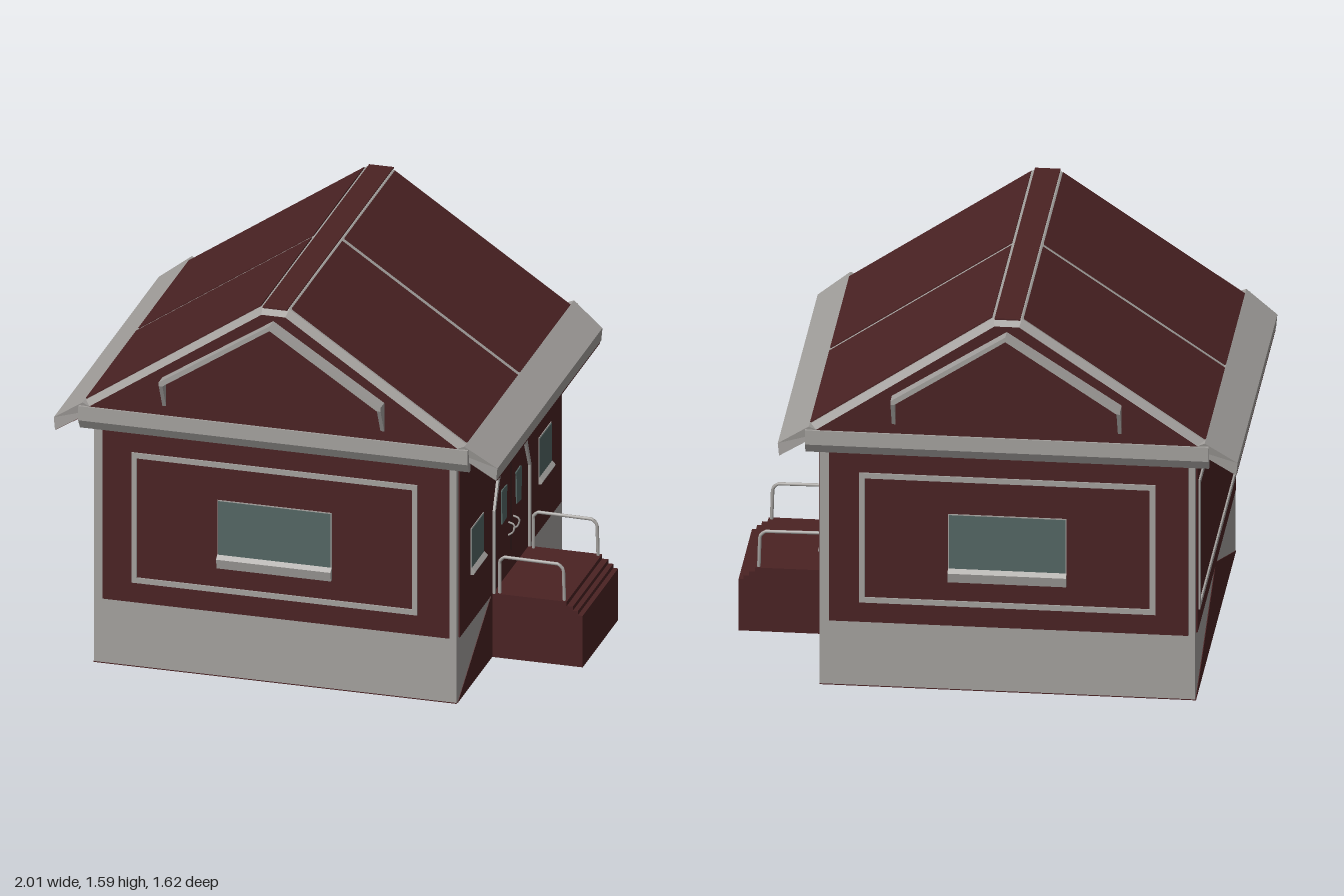
import * as THREE from 'three';

const paint = (name, color) => {
  const m = new THREE.MeshStandardMaterial({ color });
  m.name = name;
  return m;
};

export function createModel() {
  const red = paint('dark red', 0x4a2223);
  const grey = paint('warm grey', 0xa3a09d);
  const glass = paint('teal glass', 0x536663);
  const black = paint('door gap', 0x1c0e0e);

  const model = new THREE.Group();
  model.name = 'house';
  const house = new THREE.Group();
  house.name = 'building';
  house.position.x = -0.105;
  model.add(house);

  const add = (parent, name, geo, mat, x = 0, y = 0, z = 0) => {
    const mesh = new THREE.Mesh(geo, mat);
    mesh.name = name;
    mesh.position.set(x, y, z);
    parent.add(mesh);
    return mesh;
  };
  // box given by its limits
  const box = (parent, name, mat, x0, x1, y0, y1, z0, z1) =>
    add(parent, name, new THREE.BoxGeometry(x1 - x0, y1 - y0, z1 - z0), mat,
      (x0 + x1) / 2, (y0 + y1) / 2, (z0 + z1) / 2);
  const shapeOf = (pts) => new THREE.Shape(pts.map(([x, y]) => new THREE.Vector2(x, y)));
  const prism = (pts, depth, hole) => {
    const s = shapeOf(pts);
    if (hole) s.holes.push(shapeOf(hole));
    return new THREE.ExtrudeGeometry(s, { depth, bevelEnabled: false });
  };
  const rect = (w, y0, y1) => [[-w, y0], [w, y0], [w, y1], [-w, y1]];
  const frame = (parent, name, w, y0, y1, t, depth) =>
    add(parent, name, prism(rect(w, y0, y1), depth, rect(w - t, y0 + t, y1 - t)), grey);

  // body and floor
  box(house, 'walls', grey, -0.735, 0.735, 0.004, 1.06, -0.73, 0.73);
  box(house, 'floor', red, -0.735, 0.735, 0, 0.004, -0.73, 0.73);

  // each wall is a group whose local z points outwards
  const wall = (name, angle, dist) => {
    const g = new THREE.Group();
    g.name = name;
    g.rotation.y = angle;
    g.position.set(Math.sin(angle) * dist, 0, Math.cos(angle) * dist);
    house.add(g);
    return g;
  };
  const windowUnit = (g, cx, w, y0, sillTop, y1, out) => {
    box(g, 'windowSurround', grey, cx - w, cx + w, y0 + 0.02, y1, 0, 0.009);
    box(g, 'windowPane', glass, cx - w + 0.004, cx + w - 0.004, sillTop, y1 - 0.004, 0.003, 0.011);
    // sloping sill
    const sill = prism([[0, y0], [out * 0.7, y0], [out, sillTop - 0.015], [0.01, sillTop]], 2 * w);
    add(g, 'windowSill', sill.rotateY(-Math.PI / 2), grey, cx + w, 0, 0);
  };

  // front and back walls
  for (const [name, angle] of [['frontWall', 0], ['backWall', Math.PI]]) {
    const g = wall(name, angle, 0.73);
    box(g, 'wallPanel', red, -0.698, 0.708, 0.275, 1.0, 0, 0.006);
    frame(g, 'wallFrame', 0.58, 0.36, 0.91, 0.022, 0.013);
    windowUnit(g, 0, 0.232, 0.465, 0.52, 0.75, 0.028);
  }

  // left wall
  const left = wall('leftWall', -Math.PI / 2, 0.735);
  box(left, 'wallPanel', red, -0.7, 0.7, 0.275, 1.04, 0, 0.006);
  frame(left, 'wallFrame', 0.67, 0.36, 0.91, 0.022, 0.013);
  add(left, 'basePanel', prism([[-0.73, 0], [0.73, 0], [0, 0.27]], 0.003), red);

  // right wall with the entrance
  const right = wall('rightWall', Math.PI / 2, 0.735);
  box(right, 'wallPanel', red, -0.7, 0.7, 0.27, 1.04, 0, 0.006);
  add(right, 'basePanel', prism([[-0.72, 0], [0.72, 0], [0.25, 0.27], [-0.25, 0.27]], 0.003), red);
  for (const s of [-1, 1]) {
    windowUnit(right, s * 0.467, 0.087, 0.475, 0.505, 0.67, 0.026);
    add(right, 'doorPane', prism([[0.07, 0.52], [0.133, 0.515], [0.137, 0.655], [0.125, 0.66], [0.06, 0.655], [0.065, 0.64]]
      .map(([x, y]) => [s * x, y]), 0.011), glass);
    const handle = new THREE.CatmullRomCurve3([[0, 0.43, 0.006], [0, 0.445, 0.025], [0, 0.475, 0.03], [0, 0.485, 0.006]]
      .map((p) => new THREE.Vector3(...p)));
    add(right, 'doorHandle', new THREE.TubeGeometry(handle, 8, 0.004, 6), grey, s * 0.033);
  }
  box(right, 'doorGap', black, -0.003, 0.003, 0.355, 0.8, 0, 0.009);

  // arched door trim: outer line there, inner line back
  const half = [[0.25, 0.27], [0.25, 0.62], [0.2, 0.735], [0.13, 0.81], [0.05, 0.855], [0, 0.862]];
  const inner = [[0.238, 0.27], [0.238, 0.615], [0.182, 0.725], [0.118, 0.793], [0.043, 0.837], [0, 0.844]];
  const mirror = (pts) => pts.slice(0, -1).reverse().map(([x, y]) => [-x, y]);
  add(right, 'doorArch', prism([...half, ...mirror(half), ...mirror(inner).reverse(), ...[...inner].reverse()], 0.016), grey);

  // roof prism: bevelled grey rim, red gables
  const roofPts = [[-0.795, 1.04], [0.795, 1.04], [0.795, 1.085], [0.055, 1.585], [-0.055, 1.585], [-0.795, 1.085]];
  const roof = new THREE.ExtrudeGeometry(shapeOf(roofPts), {
    depth: 1.44, bevelEnabled: true, bevelThickness: 0.035, bevelSize: 0.022, bevelOffset: -0.022, bevelSegments: 1,
  });
  add(house, 'roof', roof, [red, grey], 0, 0, -0.72);
  box(house, 'ridgeCap', red, -0.05, 0.05, 1.583, 1.589, -0.735, 0.735);

  // red roof panels, eaves and soffits on both slopes
  const drop = 0.5 / 0.74;
  for (const s of [-1, 1]) {
    const side = new THREE.Group();
    side.name = s > 0 ? 'rightSlope' : 'leftSlope';
    side.rotation.y = s > 0 ? 0 : Math.PI;
    house.add(side);
    const roofY = (x) => 1.585 - (x - 0.055) * drop;
    const strip = (x0, x1, lift, t) => [[x0, roofY(x0) + lift - t], [x1, roofY(x1) + lift - t],
      [x1, roofY(x1) + lift], [x0, roofY(x0) + lift]];
    for (const z of [-0.71, 0.015])
      add(side, 'roofPanel', prism(strip(0.062, 0.775, 0.006, 0.009), 0.695), red, 0, 0, z);
    // the eave narrows towards its outer edge
    const taper = (geo) => {
      const p = geo.attributes.position;
      for (let i = 0; i < p.count; i++) if (p.getX(i) > 0.87) p.setZ(i, p.getZ(i) * 0.96);
      geo.computeVertexNormals();
      return geo;
    };
    const eave = prism([[0.72, 1.08], [0.895, 0.961], [0.9, 1.014], [0.775, 1.104]], 1.51).translate(0, 0, -0.755);
    add(side, 'eave', taper(eave), grey);
    const soffit = prism([[0.725, 1.071], [0.895, 0.956], [0.895, 0.961], [0.725, 1.078]], 1.48).translate(0, 0, -0.74);
    add(side, 'soffit', taper(soffit), red);
  }

  // cornice and gable trim, front and back
  for (const [name, angle] of [['frontGable', 0], ['backGable', Math.PI]]) {
    const g = new THREE.Group();
    g.name = name;
    g.rotation.y = angle;
    house.add(g);
    const cornice = prism([[0.72, 0.99], [0.738, 0.99], [0.763, 1.03], [0.763, 1.09], [0.72, 1.09]], 1.58);
    add(g, 'cornice', cornice.rotateY(-Math.PI / 2), grey, 0.79);
    const hood = [[-0.45, 1.235], [-0.435, 1.235], [0, 1.522], [0.435, 1.235], [0.45, 1.235], [0.45, 1.25], [0, 1.542], [-0.45, 1.25]];
    add(g, 'gableHood', prism(hood, 0.07), grey, 0, 0, 0.74);
    for (const x of [-0.435, 0.45]) {
      const bracket = prism([[0.74, 1.13], [0.757, 1.13], [0.81, 1.24], [0.74, 1.24]], 0.015);
      add(g, 'hoodBracket', bracket.rotateY(-Math.PI / 2), grey, x);
    }
  }

  // porch with steps
  const steps = [[0.63, 0], [1, 0], [1, 0.218], [0.98, 0.218], [0.98, 0.235], [0.96, 0.235], [0.96, 0.252],
    [0.935, 0.252], [0.935, 0.27], [0.63, 0.27]];
  add(model, 'porch', prism(steps, 0.49), red, 0, 0, -0.245);

  // handrails
  const railPts = [[0.66, 0.27], [0.66, 0.405], [0.675, 0.423], [0.9, 0.42], [0.918, 0.4], [0.922, 0.27]];
  for (const z of [-0.232, 0.232]) {
    const path = new THREE.CurvePath();
    const v = railPts.map(([x, y]) => new THREE.Vector3(x, y, z));
    for (let i = 1; i < v.length; i++) path.add(new THREE.LineCurve3(v[i - 1], v[i]));
    add(model, 'handrail', new THREE.TubeGeometry(path, 40, 0.007, 8), grey);
  }
  return model;
}
